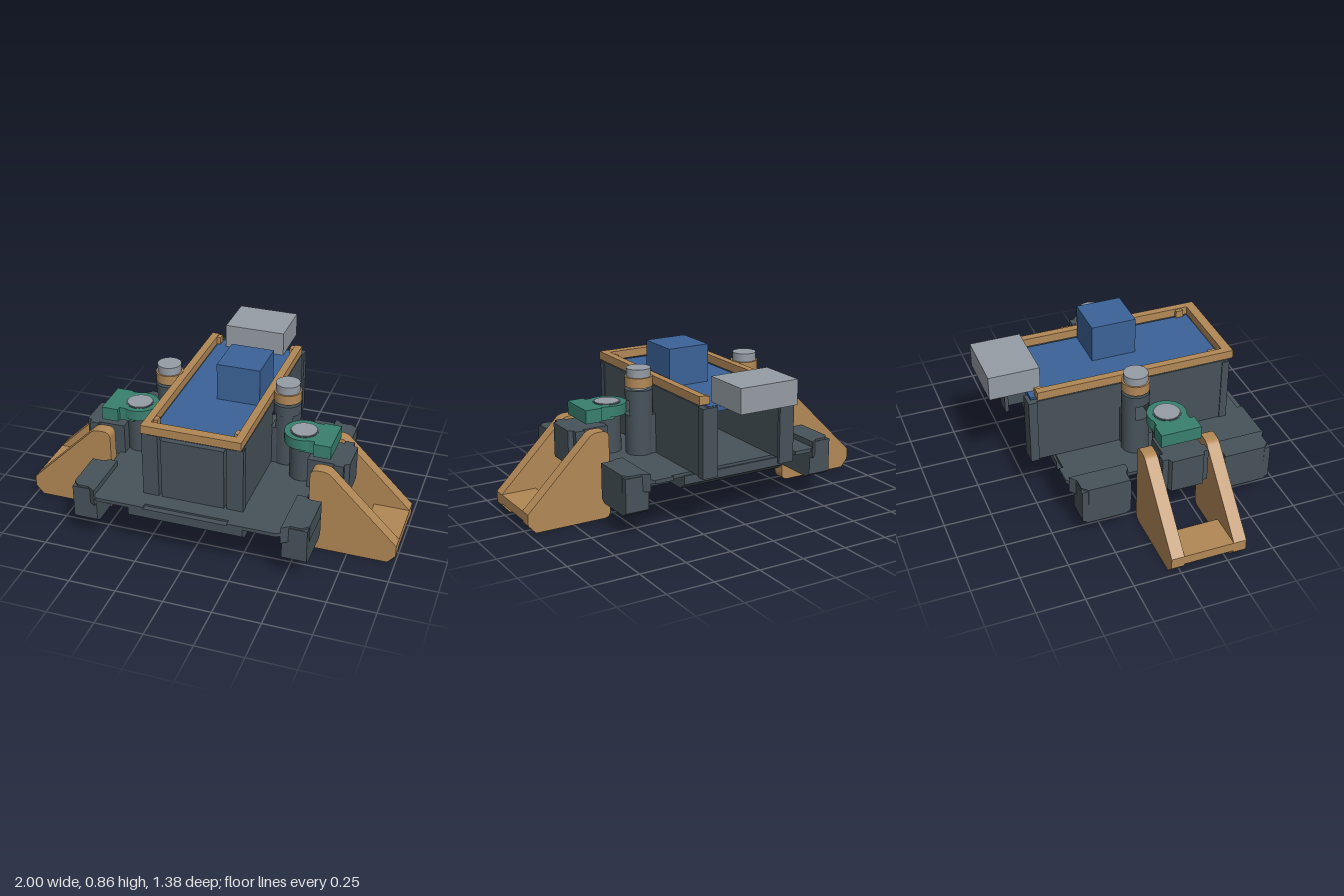
import * as THREE from 'three';

const mat = (name, color) => {
  const m = new THREE.MeshStandardMaterial({ color });
  m.name = name;
  return m;
};

export function createModel() {
  const model = new THREE.Group();
  model.name = 'dockingFixture';
  const slate = mat('slate', 0x465259);
  const tan = mat('tan', 0xb28856);
  const blue = mat('blue', 0x3b6297);
  const teal = mat('teal', 0x38806f);
  const grey = mat('grey', 0x959ca4);

  const add = (name, geo, material) => {
    const m = new THREE.Mesh(geo, material);
    m.name = name;
    model.add(m);
    return m;
  };
  // Box given by its limits on each axis
  const box = (name, material, x0, x1, y0, y1, z0, z1) =>
    add(name, new THREE.BoxGeometry(Math.abs(x1 - x0), y1 - y0, z1 - z0)
      .translate((x0 + x1) / 2, (y0 + y1) / 2, (z0 + z1) / 2), material);
  const cyl = (name, material, x, z, r, y0, y1) =>
    add(name, new THREE.CylinderGeometry(r, r, y1 - y0, 40).translate(x, (y0 + y1) / 2, z), material);
  const poly = (pts) => new THREE.Shape(pts.map(([a, b]) => new THREE.Vector2(a, b)));
  const extrude = (shape, depth) =>
    new THREE.ExtrudeGeometry(shape, { depth, bevelEnabled: false, curveSegments: 20 });
  // Plan outline (x, z) raised from y0 to y1
  const plan = (name, material, pts, y0, y1) =>
    add(name, extrude(poly(pts.map(([x, z]) => [x, -z])), y1 - y0)
      .rotateX(-Math.PI / 2).translate(0, y0, 0), material);
  // Side profile (z, y) swept from x0 to x1, with optional hole
  const side = (name, material, pts, x0, x1, hole) => {
    const shape = poly(pts.map(([z, y]) => [-z, y]));
    if (hole) shape.holes.push(poly(hole.map(([z, y]) => [-z, y])));
    add(name, extrude(shape, Math.abs(x1 - x0)).rotateY(Math.PI / 2).translate(Math.min(x0, x1), 0, 0), material);
  };
  const rect = (a0, a1, b0, b1) => [[a0, b0], [a1, b0], [a1, b1], [a0, b1]];

  // Base: chamfered pan under a wide deck
  side('basePan', slate, [[-0.40, 0.285], [-0.40, 0.24], [-0.36, 0.21], [0.65, 0.21], [0.69, 0.24], [0.69, 0.285]], -0.3, 0.3);
  const half = [[0.22, 0.69], [0.47, 0.69], [0.53, 0.65], [0.53, -0.36], [0.47, -0.41], [0.37, -0.41], [0.37, -0.39]];
  const mirrored = half.map(([x, z]) => [-x, z]).reverse();
  plan('baseDeck', slate, [[0.22, 0.66], ...half, ...mirrored, [-0.22, 0.66]], 0.28, 0.3);
  box('frontLip', slate, -0.22, 0.22, 0.25, 0.29, 0.65, 0.69);
  // Raised pads on the underside
  cyl('undersideDisc', slate, 0, 0.14, 0.06, 0.204, 0.212);
  for (const z of [-0.1, 0.38]) box('undersidePad', slate, -0.07, 0.07, 0.204, 0.212, z - 0.05, z + 0.05);

  // Housing front panel and sliding tray
  box('frontPanel', slate, -0.165, 0.165, 0.3, 0.63, 0.53, 0.57);
  box('tray', blue, -0.22, 0.22, 0.63, 0.66, -0.5, 0.54);
  box('trayBlock', blue, -0.02, 0.21, 0.66, 0.86, -0.10, 0.14);
  box('rearBlock', grey, -0.165, 0.165, 0.66, 0.79, -0.695, -0.43);

  // U-shaped frame, open at the rear
  plan('topFrame', tan, [[-0.26, -0.475], [-0.22, -0.475], [-0.22, 0.54], [0.22, 0.54], [0.22, -0.475],
    [0.26, -0.475], [0.26, 0.59], [-0.26, 0.59]], 0.665, 0.71);

  for (const s of [1, -1]) {
    const flip = (pts) => pts.map(([x, z]) => [s * x, z]);

    // Housing wall with a window and returned ends
    side('housingWall', slate, rect(-0.52, 0.57, 0.3, 0.66), s * 0.235, s * 0.26, rect(-0.005, 0.075, 0.51, 0.59));
    box('wallFrontReturn', slate, s * 0.18, s * 0.265, 0.3, 0.65, 0.53, 0.57);
    box('wallRearReturn', slate, s * 0.185, s * 0.27, 0.3, 0.66, -0.525, -0.505);
    box('wallRearEdge', slate, s * 0.25, s * 0.27, 0.3, 0.66, -0.525, -0.48);
    for (const z of [0.49, -0.455]) box('frameTab', tan, s * 0.2, s * 0.225, 0.665, 0.705, z - 0.02, z + 0.02);

    // Clamp post, slotted to match the wall window
    const px = s * 0.325, pz = 0.02, r = 0.072;
    cyl('clampPostLower', slate, px, pz, r, 0.3, 0.51);
    cyl('clampPostUpper', slate, px, pz, r, 0.59, 0.645);
    for (const [offset, dir] of [[0.055, 1], [-0.025, -1]]) {
      const a = Math.asin(Math.abs(offset) / r), pts = [];
      for (let i = 0; i <= 12; i++) {
        const t = a + (Math.PI - 2 * a) * i / 12;
        pts.push([px + r * Math.cos(t), pz + dir * r * Math.sin(t)]);
      }
      plan('clampPostJamb', slate, pts, 0.51, 0.59);
    }
    box('clampPostWeb', slate, s * 0.255, s * 0.29, 0.3, 0.51, -0.04, 0.08);
    cyl('clampPin', grey, px, 0.03, 0.03, 0.575, 0.6);
    cyl('clampNeck', grey, px, pz, 0.047, 0.64, 0.67);
    cyl('clampRing', tan, px, pz, r, 0.66, 0.712);
    cyl('clampCap', grey, px, pz, 0.063, 0.705, 0.756);

    // Outer post with a teal collar and arm
    const cx = s * 0.45, cz = 0.14;
    cyl('outerPost', slate, cx, cz, 0.072, 0.3, 0.51);
    cyl('collar', teal, cx, cz, 0.102, 0.505, 0.562);
    plan('collarArm', teal, flip([[0.45, 0.05], [0.53, 0.05], [0.53, 0.04], [0.62, 0.04],
      [0.62, 0.255], [0.53, 0.255], [0.53, 0.23], [0.45, 0.23]]), 0.49, 0.562);
    cyl('postRim', slate, cx, cz, 0.073, 0.555, 0.564);
    cyl('postCap', grey, cx, cz, 0.065, 0.555, 0.567);

    // Mounting block with a grooved head
    plan('mountBlock', slate, flip([[0.5, 0.04], [0.64, 0.04], [0.64, 0.02], [0.69, 0.02], [0.69, 0.05], [0.715, 0.06],
      [0.715, 0.23], [0.69, 0.24], [0.69, 0.265], [0.64, 0.265], [0.64, 0.25], [0.5, 0.25]]), 0.28, 0.465);

    // Corner lugs and hanging feet
    for (const d of [1, -1]) {
      const z = (v) => 0.14 + d * v;
      plan('cornerLug', slate, flip([[0.49, z(0.24)], [0.53, z(0.24)], [0.56, z(0.26)], [0.62, z(0.26)],
        [0.62, z(0.48)], [0.59, z(0.51)], [0.53, z(0.51)], [0.49, z(0.54)]]), 0.24, 0.33);
      side('foot', slate, [[z(0.255), 0.32], [z(0.255), 0.14], [z(0.28), 0.12], [z(0.485), 0.12],
        [z(0.515), 0.14], [z(0.515), 0.32]], s * 0.49, s * 0.618);
    }

    // Triangular side bracket: two rounded plates and an outer bar
    const cheek = new THREE.Shape();
    cheek.moveTo(s * 0.58, 0);
    cheek.lineTo(s * 0.96, 0);
    cheek.lineTo(s, 0.045);
    cheek.lineTo(s, 0.105);
    cheek.lineTo(s * 0.65, 0.452);
    cheek.quadraticCurveTo(s * 0.632, 0.47, s * 0.6, 0.47);
    cheek.lineTo(s * 0.58, 0.47);
    cheek.quadraticCurveTo(s * 0.54, 0.47, s * 0.54, 0.43);
    cheek.lineTo(s * 0.54, 0.04);
    cheek.quadraticCurveTo(s * 0.54, 0, s * 0.58, 0);
    for (const z of [-0.055, 0.278]) add('bracketCheek', extrude(cheek, 0.068).translate(0, 0, z), tan);
    const bar = poly([[0.81, 0], [0.93, 0], [0.97, 0.055], [1, 0.055], [1, 0.105], [0.81, 0.105]].map(([x, y]) => [s * x, y]));
    add('bracketBar', extrude(bar, 0.27).translate(0, 0, 0.01), tan);
  }
  return model;
}
